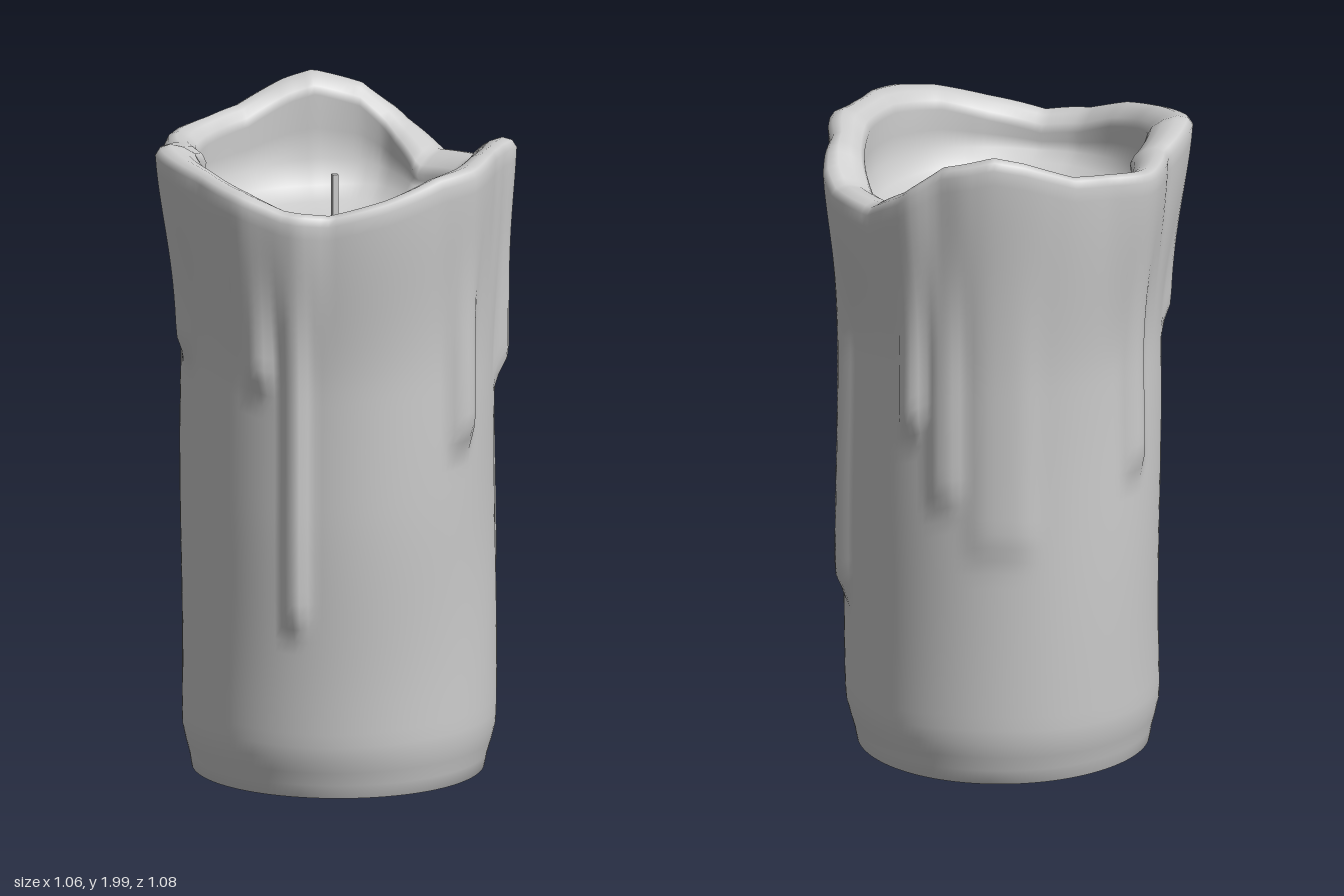
import * as THREE from 'three';

// Rim, by angle in degrees from +x toward +z: [angle, value]
const RIM_HEIGHT = [[0, 1.93], [25, 1.93], [50, 1.9], [70, 1.85], [90, 1.81], [105, 1.825], [120, 1.87], [140, 1.91],
  [160, 1.94], [180, 1.9], [200, 1.89], [230, 1.92], [248, 1.98], [258, 2.0], [275, 1.96], [290, 1.86], [305, 1.79],
  [325, 1.8], [340, 1.88]];
const RIM_OUTER = [[0, 0.53], [7, 0.505], [17, 0.5], [37, 0.54], [50, 0.518], [65, 0.519], [79, 0.52], [90, 0.52],
  [100, 0.55], [111, 0.55], [119, 0.56], [137, 0.545], [154, 0.568], [159, 0.57], [180, 0.51], [197, 0.544],
  [204, 0.546], [216, 0.516], [237, 0.52], [259, 0.54], [268, 0.54], [277, 0.528], [286, 0.55], [292, 0.54],
  [305, 0.524], [332, 0.546], [348, 0.51], [355, 0.525]];
const RIM_INNER = [[0, 0.405], [21, 0.41], [44, 0.417], [65, 0.42], [83, 0.433], [103, 0.45], [116, 0.447], [150, 0.44],
  [159, 0.43], [180, 0.39], [197, 0.44], [207, 0.45], [235, 0.44], [257, 0.435], [276, 0.453], [284, 0.45],
  [303, 0.375], [325, 0.4], [338, 0.408]];

// Wax runs: angle, half width in degrees, lower end, thickness
const DRIPS = [[0, 5, 1.23, 0.04], [37, 6, 1.08, 0.035], [102, 4, 0.55, 0.03], [116, 5, 1.28, 0.035],
  [157, 7, 1.32, 0.03], [199, 6, 0.95, 0.025], [276, 6, 0.9, 0.02], [289, 5, 1.12, 0.035],
  [333, 5, 0.52, 0.035], [255, 12, 0.75, 0.015]];

const { lerp, smoothstep } = THREE.MathUtils;

// Read a closed table at any angle
function around(table, deg) {
  for (let i = 0; i < table.length; i++) {
    const [a, va] = table[i];
    const [b, vb] = table[i + 1] ?? [360, table[0][1]];
    if (deg >= a && deg <= b) return lerp(va, vb, (deg - a) / (b - a));
  }
  return table[0][1];
}

// Radius of the outer wall
function wallRadius(deg, y, top) {
  const a = deg * Math.PI / 180;
  let r = lerp(0.432, 0.465, smoothstep(y, 0, 0.17));
  r += 0.016 * Math.sin(a) ** 2 * smoothstep(y, 0.3, 0.9) * (Math.sin(a) > 0 ? 1 : 0.3);
  r += 0.004 * Math.sin(3 * a + 5 * y);
  const flare = smoothstep(y, 1.25, top + 0.03);
  for (const [angle, width, end, thick] of DRIPS) {
    const d = Math.abs(((deg - angle + 540) % 360) - 180) / width;
    r += thick * (1 - flare) * Math.exp(-(d ** 4)) * smoothstep(y, end - 0.06, end + 0.05);
  }
  return lerp(r, around(RIM_OUTER, deg), flare);
}

// Cross-section from the underside, up the wall, over the lip and into the bowl
function section(deg) {
  const top = around(RIM_HEIGHT, deg);
  const outer = around(RIM_OUTER, deg), inner = around(RIM_INNER, deg);
  const pts = [[0, 0.012], [0.25, 0.012], [0.42, 0.012]];
  const rows = 44;
  for (let i = 0; i <= rows; i++) {
    const y = lerp(0.014, top - 0.03, i / rows);
    pts.push([wallRadius(deg, y, top), y]);
  }
  for (const [t, dy] of [[0.12, -0.008], [0.35, 0], [0.65, -0.012], [0.9, -0.035], [1, -0.06]])
    pts.push([lerp(outer, inner, t), top + dy]);
  const drop = top - 0.06;
  pts.push([inner + 0.008, lerp(drop, 1.68, 0.4)], [inner, lerp(drop, 1.68, 0.75)]);
  pts.push([inner * 0.93, 1.67], [inner * 0.8, 1.635], [inner * 0.55, 1.605], [inner * 0.25, 1.59], [0, 1.585]);
  return pts;
}

function waxGeometry(segments = 144) {
  const positions = [], index = [];
  let rows = 0;
  for (let j = 0; j < segments; j++) {
    const deg = j / segments * 360, a = deg * Math.PI / 180;
    const pts = section(deg);
    rows = pts.length;
    for (const [r, y] of pts) positions.push(r * Math.cos(a), y, r * Math.sin(a));
  }
  for (let j = 0; j < segments; j++) {
    const here = j * rows, next = ((j + 1) % segments) * rows;
    for (let i = 0; i < rows - 1; i++) {
      if (i > 0) index.push(here + i, here + i + 1, next + i);
      if (i < rows - 2 || i === 0) index.push(here + i + 1, next + i + 1, next + i);
      else index.push(here + i, here + i + 1, next + i);
    }
  }
  const geometry = new THREE.BufferGeometry();
  geometry.setAttribute('position', new THREE.Float32BufferAttribute(positions, 3));
  geometry.setIndex(index);
  geometry.computeVertexNormals();
  return geometry;
}

export function createModel() {
  const group = new THREE.Group();
  group.name = 'candle';
  const material = new THREE.MeshStandardMaterial({ color: 0xcccccc });

  // Wax body with runs and melted bowl
  const wax = new THREE.Mesh(waxGeometry(), material);
  wax.name = 'waxBody';
  group.add(wax);

  // Square wick standing in the bowl
  const wick = new THREE.Mesh(new THREE.BoxGeometry(0.018, 0.24, 0.018), material);
  wick.name = 'wick';
  wick.position.set(-0.01, 1.69, 0.005);
  wick.rotation.y = 0.45;
  group.add(wick);

  return group;
}
